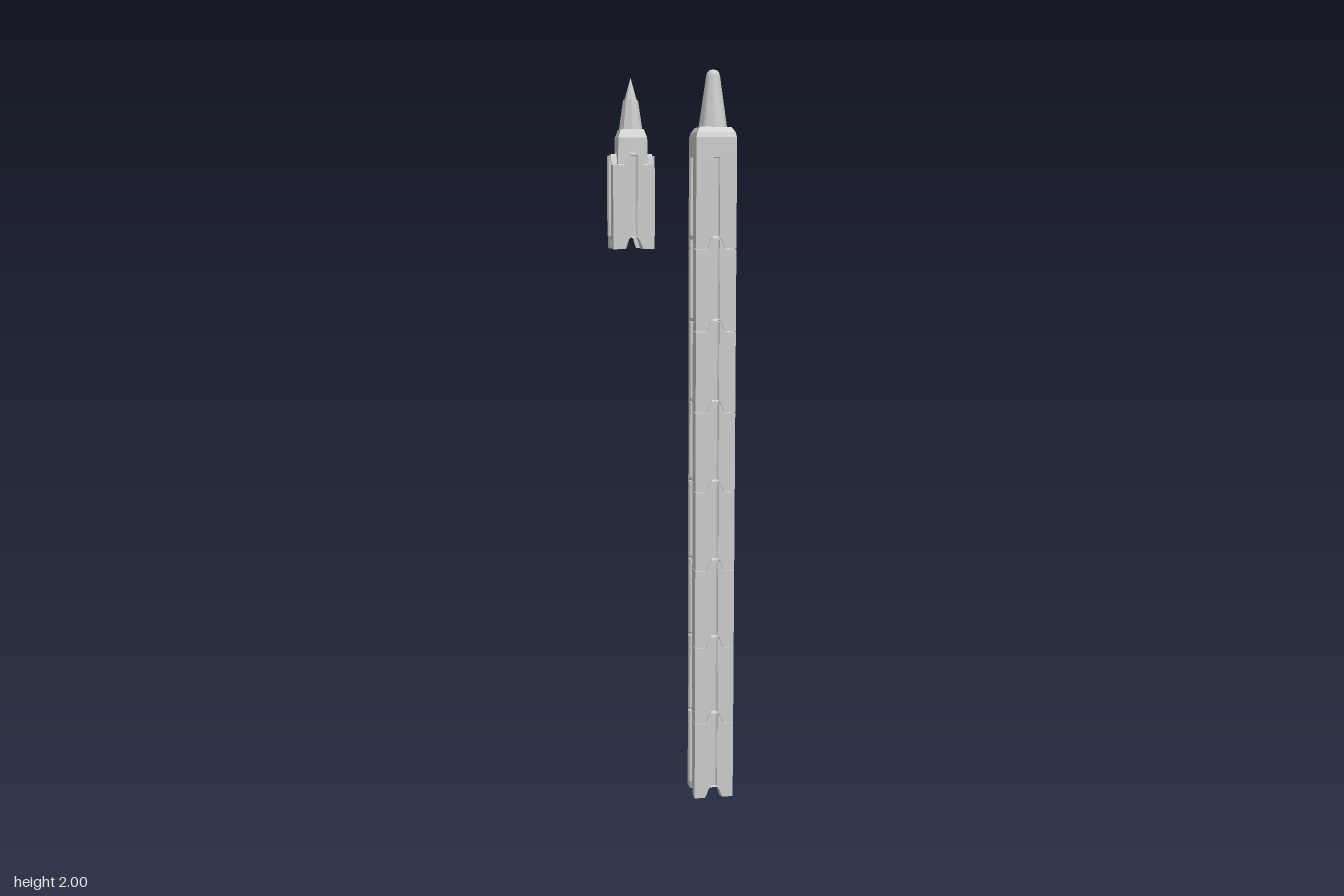
import * as THREE from 'three';

const PITCH = 0.219, HALF = 0.0545, ARCH = 0.03;
const flat = new THREE.MeshStandardMaterial({ color: 0xcccccc, flatShading: true, side: THREE.DoubleSide });
const smooth = new THREE.MeshStandardMaterial({ color: 0xcccccc });

// One side of the section: [position along side, arch height, rib or groove amount]
const SIDE = [
  [-1, 0, 0], [-0.46, 0, 0], [-0.37, 0.35, 0], [-0.28, 0.8, 0], [-0.17, 1, 0], [-0.17, 1, 0.6],
  [-0.1, 1, 1], [0.1, 1, 1],
  [0.17, 1, 0.6], [0.17, 1, 0], [0.28, 0.8, 0], [0.37, 0.35, 0], [0.46, 0, 0],
];

// Loft through square sections. Row: [half width, y, arch factor, rib factor, groove factor]
function loft(rows) {
  const pos = [], idx = [], n = SIDE.length * 4;
  for (const [half, y, arch = 0, rib = 0, groove = 0] of rows) {
    for (let s = 0; s < 4; s++) {
      const a = s * Math.PI / 2, sn = Math.sin(a), cs = Math.cos(a);
      for (const [u, h, d] of SIDE) {
        const out = half + d * (s % 2 ? 0.0085 * rib : -0.007 * groove);
        pos.push(out * sn + u * half * cs, y + h * arch * ARCH, out * cs - u * half * sn);
      }
    }
  }
  for (let r = 0; r < rows.length - 1; r++) {
    for (let j = 0; j < n; j++) {
      const a = r * n + j, b = r * n + (j + 1) % n;
      idx.push(a, b, b + n, a, b + n, a + n);
    }
  }
  const g = new THREE.BufferGeometry();
  g.setAttribute('position', new THREE.Float32BufferAttribute(pos, 3));
  g.setIndex(idx);
  g.computeVertexNormals();
  return g;
}

function add(parent, name, geometry, material, y = 0) {
  const m = new THREE.Mesh(geometry, material);
  m.name = name;
  m.position.y = y;
  parent.add(m);
  return m;
}

// Hollow socket, notched bottom rim and the start of the outer wall
const socket = [
  [0, 0.2], [0.041, 0.2], [0.041, 0, 1], [HALF, 0, 1], [HALF, 0.003, 1, 0, 1], [HALF, 0.0035, 1, 1, 1],
];

// Link with an arched top rim and a square neck
const linkRows = [
  ...socket,
  [HALF, 0.212, 1, 1, 1], [HALF, 0.2125, 1, 0, 0], [HALF, 0.217, 1],
  [0.041, 0.217, 1], [0.039, 0.22, 1], [0.038, 0.288], [0.03, 0.31], [0, 0.31],
];

// Top link with a plain bevelled shoulder
const topRows = [
  ...socket,
  [HALF, 0.238, 0, 1, 1], [HALF, 0.2385], [HALF, 0.29], [0.051, 0.303], [0.042, 0.317], [0, 0.317],
];

// Rounded cap tip: eight-sided at the base, round at the top
function capTip() {
  const prof = [[0.039, 0], [0.0185, 0.134], [0.016, 0.143], [0.01, 0.149], [0, 0.151]];
  const g = new THREE.LatheGeometry(prof.map(p => new THREE.Vector2(...p)), 32);
  const p = g.attributes.position, step = Math.PI / 4;
  for (let i = 0; i < p.count; i++) {
    const x = p.getX(i), z = p.getZ(i);
    const t = ((Math.atan2(x, z) + 2 * Math.PI + 1e-6) % step) - step / 2;
    const oct = Math.cos(step / 2) / Math.cos(t);
    const k = THREE.MathUtils.lerp(oct, 1, Math.min(1, p.getY(i) / 0.134));
    p.setXYZ(i, x * k, p.getY(i), z * k);
  }
  g.computeVertexNormals();
  return g;
}

export function createModel() {
  const model = new THREE.Group();
  model.name = 'stackingPencil';

  // Full stack of eight links and the cap tip
  const stack = new THREE.Group();
  stack.name = 'stack';
  stack.position.x = 0.11;
  const link = loft(linkRows);
  for (let i = 0; i < 7; i++) add(stack, 'link' + (i + 1), link, flat, i * PITCH);
  add(stack, 'topLink', loft(topRows), flat, 7 * PITCH);
  add(stack, 'capTip', capTip(), smooth, 1.849);

  // Single loose link with its holder and sharp point
  const loose = new THREE.Group();
  loose.name = 'looseLink';
  loose.position.set(-0.11, 7 * PITCH, 0);
  add(loose, 'looseBody', link, flat);
  add(loose, 'holder', new THREE.CylinderGeometry(0.02, 0.031, 0.075, 8), flat, 0.3475);
  add(loose, 'point', new THREE.ConeGeometry(0.017, 0.06, 8), flat, 0.413);

  model.add(stack, loose);
  return model;
}
